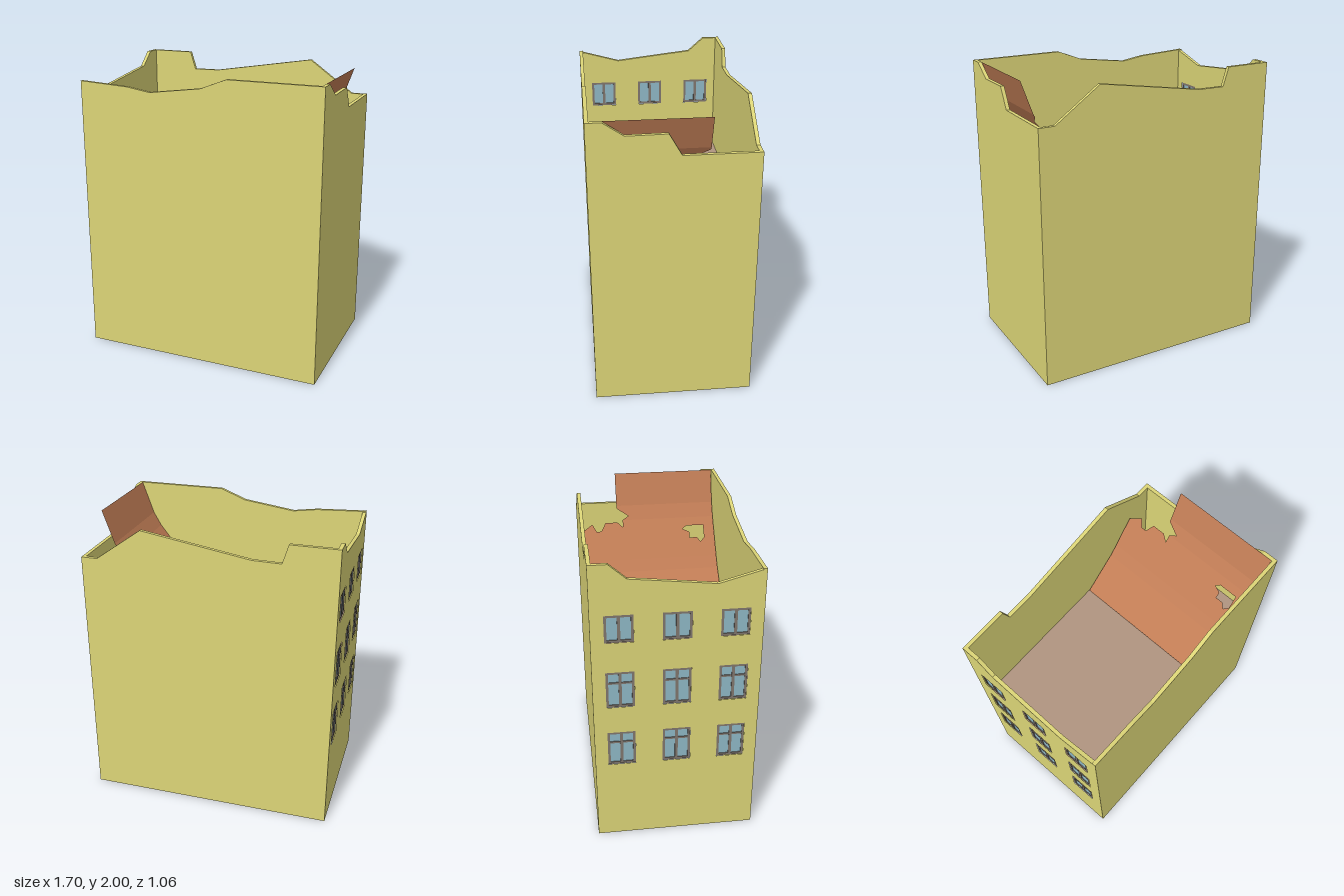
import * as THREE from 'three';

const W = 0.85, D = 0.53, T = 0.025; // half width, half depth, wall thickness

const mat = (color, extra = {}) => new THREE.MeshStandardMaterial({ color, ...extra });
const wallMat = mat(0xdcd577);
const frameMat = mat(0x80766e);
const glassMat = mat(0x8fb8c6);
const floorMat = mat(0xb09580, { side: THREE.DoubleSide });
const roofMat = mat(0xc07c55, { side: THREE.DoubleSide, flatShading: true });

function add(parent, name, geometry, material, x = 0, y = 0, z = 0) {
  const mesh = new THREE.Mesh(geometry, material);
  mesh.name = name;
  mesh.position.set(x, y, z);
  parent.add(mesh);
  return mesh;
}

const toVectors = (points) => points.map(([x, y]) => new THREE.Vector2(x, y));

// Wall slab: flat foot, broken top edge, optional rectangular openings
function wallGeometry(top, openings = []) {
  const first = top[0][0], last = top[top.length - 1][0];
  const shape = new THREE.Shape(toVectors([[last, 0], [first, 0], ...top]));
  for (const { u, y0, y1, w } of openings) {
    shape.holes.push(new THREE.Path(toVectors([
      [u - w / 2, y0], [u - w / 2, y1], [u + w / 2, y1], [u + w / 2, y0],
    ])));
  }
  return new THREE.ExtrudeGeometry(shape, { depth: T, bevelEnabled: false });
}

// Keep the part of a polygon on one side of x = limit
function clip(poly, limit, sign) {
  const out = [];
  poly.forEach((b, i) => {
    const a = poly[(i + poly.length - 1) % poly.length];
    const da = sign * (a[0] - limit), db = sign * (b[0] - limit);
    if (da * db < 0) {
      const t = da / (da - db);
      out.push([limit, a[1] + t * (b[1] - a[1])]);
    }
    if (db >= 0) out.push(b);
  });
  return out;
}

// Bend flat (x, z) outlines over a height profile, band by band
function bentSheet(outlines, profile) {
  const pos = [];
  for (let i = 0; i < profile.length - 1; i++) {
    const [x0, y0] = profile[i], [x1, y1] = profile[i + 1];
    for (const outline of outlines) {
      const poly = clip(clip(outline, x0, 1), x1, -1);
      if (poly.length < 3) continue;
      const pts = toVectors(poly);
      for (const tri of THREE.ShapeUtils.triangulateShape(pts, [])) {
        for (const k of [tri[0], tri[2], tri[1]]) {
          const p = pts[k];
          pos.push(p.x, y0 + (y1 - y0) * (p.x - x0) / (x1 - x0), p.y);
        }
      }
    }
  }
  const g = new THREE.BufferGeometry();
  g.setAttribute('position', new THREE.Float32BufferAttribute(pos, 3));
  g.computeVertexNormals();
  return g;
}

// Two-casement window set in the wall; tall ones get a transom
function makeWindow({ y0, y1, w, transom }) {
  const group = new THREE.Group();
  group.name = 'window';
  const h = y1 - y0, b = 0.016, d = 0.018;
  add(group, 'glass', new THREE.BoxGeometry(0.006, h, w), glassMat, 0, h / 2, 0);
  for (const s of [-1, 1]) {
    add(group, 'frameSide', new THREE.BoxGeometry(d, h, b), frameMat, 0, h / 2, s * (w - b) / 2);
    add(group, 'frameRail', new THREE.BoxGeometry(d, b, w - 2 * b), frameMat, 0, h / 2 + s * (h - b) / 2, 0);
  }
  add(group, 'mullion', new THREE.BoxGeometry(d, h - 2 * b, b * 1.2), frameMat, 0, h / 2, 0);
  if (transom) add(group, 'transom', new THREE.BoxGeometry(d * 0.9, b * 0.8, w - 2 * b), frameMat, 0, h * 0.68, 0);
  return group;
}

export function createModel() {
  const model = new THREE.Group();
  model.name = 'ruinedBuilding';

  // Windows: three columns by three rows on one side wall
  const openings = [];
  for (const [y0, y1, transom] of [[0.583, 0.833, true], [1.025, 1.28, true], [1.488, 1.672, false]])
    for (const u of [-0.356, 0, 0.356]) openings.push({ u, y0, y1, w: 0.18, transom });

  // Walls
  add(model, 'frontWall', wallGeometry([
    [-W, 1.922], [-0.5, 1.905], [-0.33, 1.88], [0.03, 1.93], [0.21, 2], [W, 2],
  ]), wallMat, 0, 0, D - T);
  add(model, 'backWall', wallGeometry([
    [-W, 2], [-0.53, 2], [-0.49, 1.873], [-0.3, 1.876], [0.43, 1.995], [0.74, 1.775], [W, 1.775],
  ]), wallMat, 0, 0, -D);
  add(model, 'leftWall', wallGeometry([
    [-D, 1.775], [-0.04, 1.775], [0.04, 1.915], [0.3, 1.912], [0.43, 2], [D, 2],
  ]).rotateY(-Math.PI / 2), wallMat, W);
  add(model, 'rightWall', wallGeometry([
    [-D, 2], [-0.41, 2], [-0.3, 1.903], [-0.18, 1.89], [0.24, 1.842], [D, 1.922],
  ], openings).rotateY(-Math.PI / 2), wallMat, -W + T);

  for (const o of openings) {
    const win = makeWindow(o);
    win.position.set(-W + T / 2, o.y0, o.u);
    model.add(win);
  }

  // Upper floor inside the walls
  add(model, 'floor', new THREE.PlaneGeometry(2 * (W - T), 2 * (D - T)).rotateX(-Math.PI / 2), floorMat, 0, 1.15, 0);

  // Collapsed, sagging roof sheet with a torn edge; its two outlines meet across a hole
  const backPart = [
    [0.2, -0.5], [0.64, -0.5], [0.675, -0.42], [0.64, -0.39], [0.64, -0.355], [0.68, -0.32],
    [0.68, -0.23], [0.655, -0.19], [0.69, -0.19], [0.705, -0.145], [0.735, -0.23], [0.825, -0.23],
    [0.825, 0.34], [0.65, 0.34], [0.65, 0.29], [0.635, 0.26], [0.62, 0.31], [0.592, 0.31],
    [0.592, 0.34], [0.2, 0.34],
  ];
  const frontPart = [
    [0.2, 0.34], [0.592, 0.34], [0.592, 0.365], [0.57, 0.39], [0.59, 0.42], [0.65, 0.42],
    [0.65, 0.34], [0.825, 0.34], [0.825, 0.5], [0.2, 0.5],
  ];
  add(model, 'collapsedRoof', bentSheet([backPart, frontPart], [
    [0.2, 1.16], [0.44, 1.365], [0.5, 1.435], [0.55, 1.5], [0.62, 1.59], [0.69, 1.68], [0.745, 1.775], [0.825, 2],
  ]), roofMat);

  return model;
}
